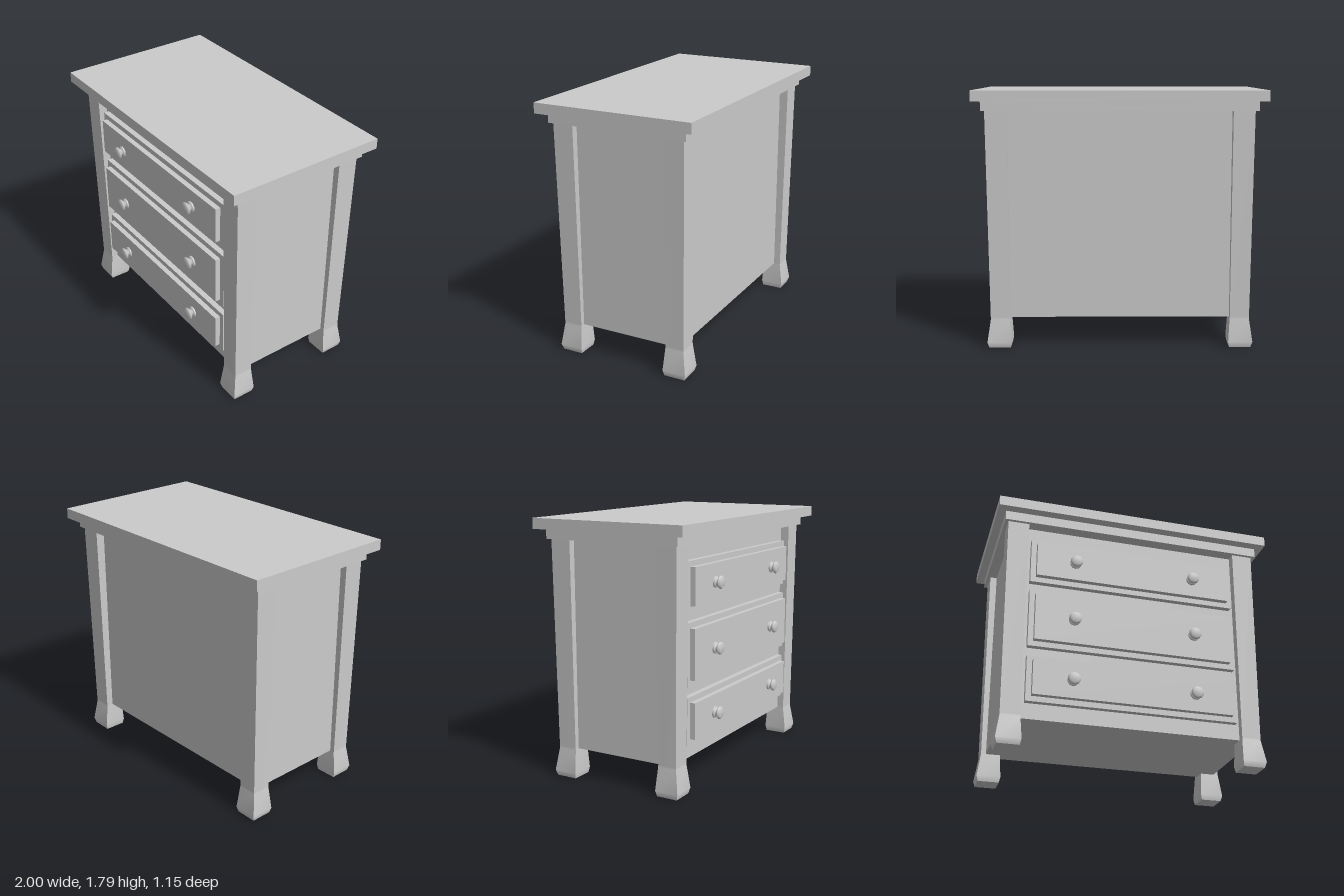
import * as THREE from 'three';

const material = new THREE.MeshStandardMaterial({ color: 0xcccccc });

function addMesh(parent, name, geometry, x = 0, y = 0, z = 0) {
  const mesh = new THREE.Mesh(geometry, material);
  mesh.name = name;
  mesh.position.set(x, y, z);
  parent.add(mesh);
  return mesh;
}

// Box between two heights and two depths, centred on x
function addSlab(parent, name, width, y0, y1, z0, z1) {
  const geometry = new THREE.BoxGeometry(width, y1 - y0, z1 - z0);
  return addMesh(parent, name, geometry, 0, (y0 + y1) / 2, (z0 + z1) / 2);
}

// Square post with a flared foot: rings of [y, inward offset, outward offset] from its axis
const LEG_RINGS = [
  [0, -0.075, 0.075],
  [0.04, -0.083, 0.087],
  [0.2, -0.073, 0.063],
  [0.215, -0.072, 0.063],
  [1.655, -0.072, 0.077],
];

function legGeometry(sx, sz) {
  const rows = LEG_RINGS.length - 1;
  const geometry = new THREE.BoxGeometry(1, rows, 1, 1, rows, 1);
  const p = geometry.attributes.position;
  for (let i = 0; i < p.count; i++) {
    const [y, inner, outer] = LEG_RINGS[Math.round(p.getY(i) + rows / 2)];
    const x = p.getX(i) * sx > 0 ? outer : inner;
    const z = p.getZ(i) * sz > 0 ? outer : inner;
    p.setXYZ(i, x * sx, y, z * sz);
  }
  geometry.computeVertexNormals();
  return geometry;
}

// Turned knob: base flange, neck and rounded cap, pointing to +z
function knobGeometry() {
  const profile = [
    [0.04, -0.005], [0.04, 0.008], [0.036, 0.013], [0.024, 0.015], [0.024, 0.03],
    [0.04, 0.032], [0.045, 0.037], [0.044, 0.044], [0.033, 0.055], [0, 0.056],
  ].map(([r, h]) => new THREE.Vector2(r, h));
  return new THREE.LatheGeometry(profile, 10).rotateX(Math.PI / 2);
}

export function createModel() {
  const model = new THREE.Group();
  model.name = 'chestOfDrawers';

  // Carcass and stepped top
  addSlab(model, 'carcass', 1.74, 0.205, 1.66, -0.42, 0.42);
  addSlab(model, 'topMoulding', 1.886, 1.655, 1.722, -0.507, 0.507);
  addSlab(model, 'topBoard', 2, 1.722, 1.795, -0.574, 0.574);

  // Corner legs
  for (const sx of [-1, 1]) {
    for (const sz of [-1, 1]) {
      const name = (sz > 0 ? 'front' : 'back') + (sx > 0 ? 'Left' : 'Right') + 'Leg';
      addMesh(model, name, legGeometry(sx, sz), sx * 0.842, 0, sz * 0.407);
    }
  }

  // Drawers: backing frame, raised panel and two knobs each
  const knob = knobGeometry();
  const drawers = [
    ['topDrawer', 1.21, 1.542],
    ['middleDrawer', 0.717, 1.14],
    ['bottomDrawer', 0.316, 0.642],
  ];
  for (const [name, y0, y1] of drawers) {
    const drawer = new THREE.Group();
    drawer.name = name;
    addSlab(drawer, 'drawerFrame', 1.485, y0, y1, 0.41, 0.46);
    addSlab(drawer, 'drawerPanel', 1.41, y0 + 0.038, y1 - 0.038, 0.45, 0.497);
    for (const sx of [-1, 1]) {
      addMesh(drawer, sx > 0 ? 'leftKnob' : 'rightKnob', knob, sx * 0.432, (y0 + y1) / 2, 0.497);
    }
    model.add(drawer);
  }
  return model;
}
